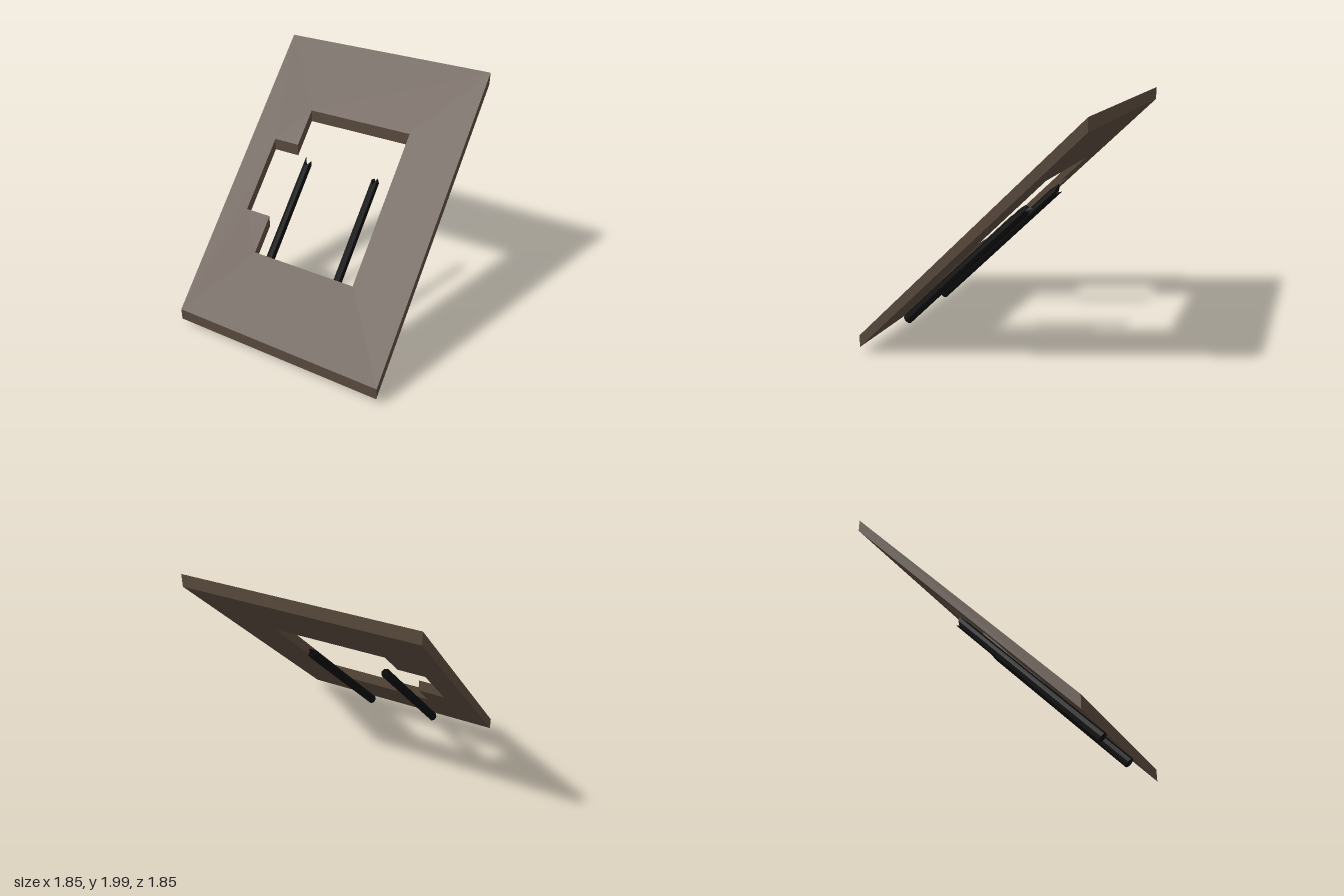
import * as THREE from 'three';

const brown = new THREE.MeshStandardMaterial({ color: 0x5a4a3d });
brown.name = 'darkWood';
const black = new THREE.MeshStandardMaterial({ color: 0x0c0c0c, flatShading: true });
black.name = 'charredWood';

// Sloping panel: a flat plate with a stepped opening, sheared so its edges stay vertical
function makePanel() {
  const half = 0.925;
  const points = (list) => list.map(([x, y]) => new THREE.Vector2(x, y));
  const shape = new THREE.Shape(points([[-half, -half], [half, -half], [half, half], [-half, half]]));
  shape.holes.push(new THREE.Path(points([
    [-0.465, -0.46], [0.46, -0.46], [0.46, 0.465], [-0.465, 0.465],
    [-0.465, 0.235], [-0.695, 0.235], [-0.695, -0.23], [-0.465, -0.23],
  ])));
  const geo = new THREE.ExtrudeGeometry(shape, { depth: 0.1, bevelEnabled: false });
  geo.rotateX(-Math.PI / 2);
  const p = geo.attributes.position;
  for (let i = 0; i < p.count; i++) p.setY(i, p.getY(i) + 0.975 - p.getZ(i));
  geo.computeVertexNormals();
  const mesh = new THREE.Mesh(geo, brown);
  mesh.name = 'panel';
  return mesh;
}

// Eight-sided beam with a splintered upper end; tips gives the end height of each corner
function makeBeam(name, x, tips) {
  const bottom = -0.596;
  const geo = new THREE.CylinderGeometry(1, 1, 2, 8, 1);
  const p = geo.attributes.position;
  for (let i = 0; i < p.count; i++) {
    const px = p.getX(i), pz = p.getZ(i);
    const top = p.getY(i) > 0;
    const corner = Math.round(Math.atan2(px, pz) / (Math.PI / 4) + 8) % 8;
    const isCentre = Math.hypot(px, pz) < 0.1;
    const end = isCentre ? 0.96 : tips[corner];
    const taper = top ? 0.93 : 1;
    p.setXYZ(i, px * 0.037 * taper, top ? end : bottom, pz * 0.043 * taper);
  }
  geo.computeVertexNormals();
  const mesh = new THREE.Mesh(geo, black);
  mesh.name = name;
  mesh.position.set(x, 0, 0.647);
  return mesh;
}

export function createModel() {
  const model = new THREE.Group();
  model.name = 'brokenRoofPanel';
  model.add(makePanel());

  // Beams lie along the underside of the slope
  const beams = new THREE.Group();
  beams.name = 'beams';
  beams.rotation.x = -Math.PI / 4;
  beams.add(
    makeBeam('rightBeam', -0.37, [0.96, 0.98, 0.99, 0.98, 1.02, 0.97, 1.01, 1.035]),
    makeBeam('leftBeam', 0.277, [0.95, 1.015, 0.98, 1.0, 0.96, 1.02, 1.0, 0.99]),
  );
  model.add(beams);
  return model;
}
